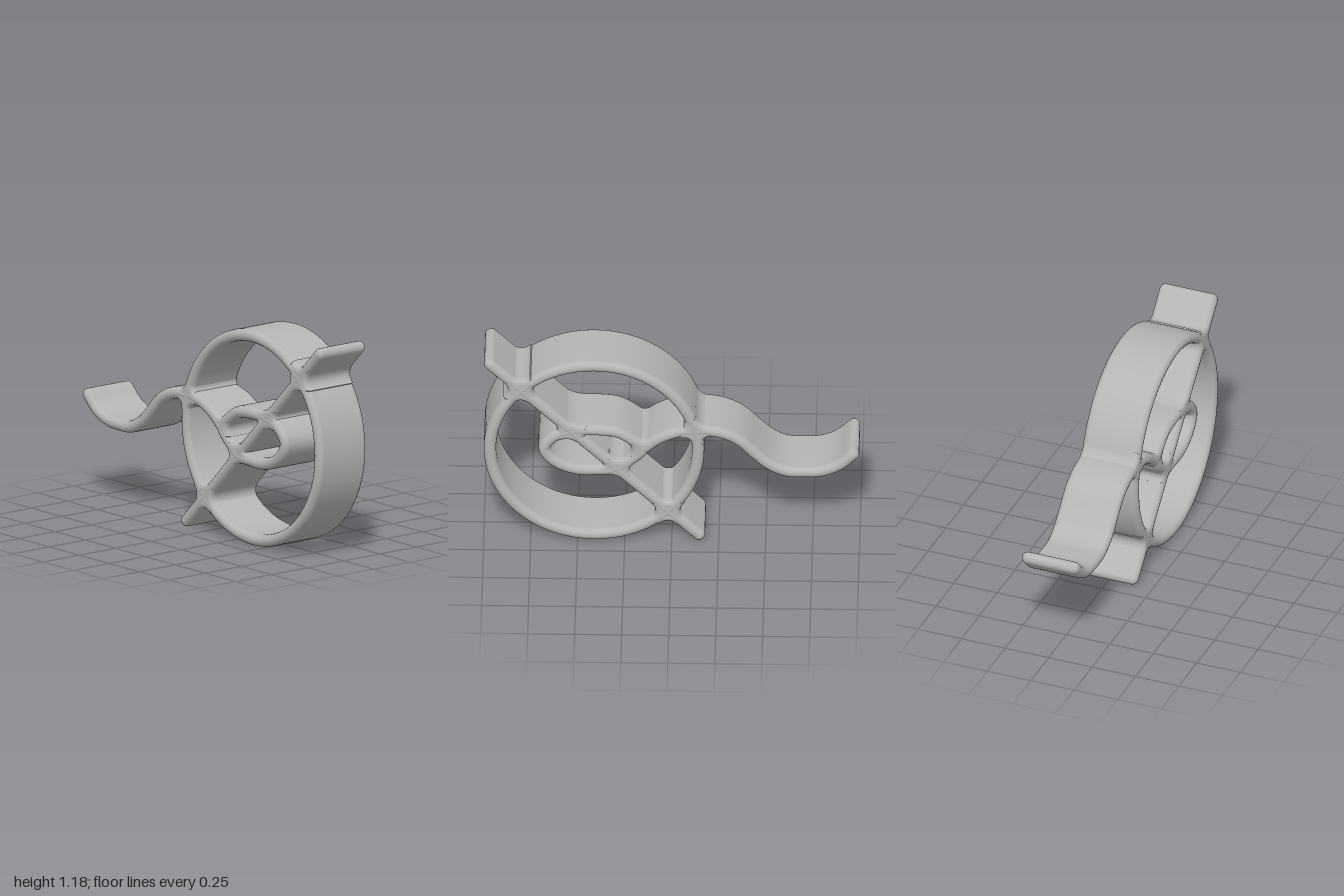
import * as THREE from 'three';

const R = 0.0325;    // half thickness of the bands, also their edge rounding
const FLAT = 0.1325; // half length of the flat part of the band section

// Sweeps a stadium-shaped section along a flat path; open ends are rounded off.
function band(curve, steps, closed) {
  const stations = [];
  const add = (u, shift, r) => {
    const p = curve.getPointAt(u), t = curve.getTangentAt(u);
    stations.push({ x: p.x + t.x * shift, y: p.y + t.y * shift, nx: -t.y, ny: t.x, r });
  };
  const round = [0, 0.25, 0.5, 0.75].map(k => k * Math.PI / 2);
  if (!closed) round.forEach(a => add(0, -R * Math.cos(a), R * Math.sin(a)));
  for (let i = 0; i < steps + (closed ? 0 : 1); i++) add(i / steps, 0, R);
  if (!closed) round.slice().reverse().forEach(a => add(1, R * Math.cos(a), R * Math.sin(a)));

  const pos = [], index = [], arc = 8, m = 2 * (arc + 1), n = stations.length;
  for (const s of stations) {
    for (let side = 0; side < 2; side++) {
      for (let k = 0; k <= arc; k++) {
        const a = (side + k / arc) * Math.PI;
        const w = Math.cos(a) * s.r;
        const z = Math.sin(a) * s.r + (side ? -1 : 1) * (FLAT);
        pos.push(s.x + s.nx * w, s.y + s.ny * w, z);
      }
    }
  }
  for (let i = 0; i < (closed ? n : n - 1); i++) {
    for (let j = 0; j < m; j++) {
      const i2 = (i + 1) % n, j2 = (j + 1) % m;
      const a = i * m + j, b = i * m + j2, c = i2 * m + j2, d = i2 * m + j;
      index.push(a, b, d, b, c, d);
    }
  }
  const g = new THREE.BufferGeometry();
  g.setAttribute('position', new THREE.Float32BufferAttribute(pos, 3));
  g.setIndex(index);
  g.computeVertexNormals();
  return g;
}

// Fillet block where bands meet: concave curves between neighbouring arms.
function fillet(x, y, degrees, reach = 0.09) {
  const arms = degrees.map(d => THREE.MathUtils.degToRad((d + 360) % 360)).sort((a, b) => a - b);
  const h = 0.03, shape = new THREE.Shape();
  const edge = (a, s) => [
    x + Math.cos(a) * reach - Math.sin(a) * h * s,
    y + Math.sin(a) * reach + Math.cos(a) * h * s,
  ];
  arms.forEach((a, i) => {
    const b = i + 1 < arms.length ? arms[i + 1] : arms[0] + 2 * Math.PI;
    const mid = (a + b) / 2, c = h / Math.sin((b - a) / 2);
    if (i === 0) shape.moveTo(...edge(a, 1));
    else shape.lineTo(...edge(a, 1));
    shape.quadraticCurveTo(x + Math.cos(mid) * c, y + Math.sin(mid) * c, ...edge(b, -1));
  });
  const bevel = 0.024;
  const g = new THREE.ExtrudeGeometry(shape, {
    depth: 0.27, bevelThickness: 0.028, bevelSize: bevel, bevelOffset: -bevel,
    bevelSegments: 3, curveSegments: 8,
  });
  g.translate(0, 0, -0.135);
  return g;
}

const path = (pts, closed = false) =>
  new THREE.CatmullRomCurve3(pts.map(([x, y]) => new THREE.Vector3(x, y, 0)), closed);

export function createModel() {
  const model = new THREE.Group();
  model.name = 'ringSculpture';
  const grey = new THREE.MeshStandardMaterial({ color: 0xb4b4b4 });
  grey.name = 'plainGrey';
  const add = (name, geometry) => {
    const mesh = new THREE.Mesh(geometry, grey);
    mesh.name = name;
    model.add(mesh);
  };

  // Large ring
  const circle = [];
  for (let i = 0; i < 24; i++) {
    const a = i / 24 * Math.PI * 2;
    circle.push([0.413 + 0.554 * Math.cos(a), 0.587 + 0.554 * Math.sin(a)]);
  }
  add('ring', band(path(circle, true), 96, true));

  // Diagonal bar through the ring
  add('diagonalBar', band(new THREE.LineCurve3(
    new THREE.Vector3(-0.145, 0.035, 0), new THREE.Vector3(0.965, 1.143, 0)), 8, false));

  // Wavy tail running into the ring
  add('waveTail', band(path([
    [-0.965, 0.575], [-0.89, 0.505], [-0.8, 0.465], [-0.7, 0.457], [-0.61, 0.462],
    [-0.52, 0.505], [-0.44, 0.58], [-0.36, 0.66], [-0.26, 0.71], [-0.13, 0.725],
    [-0.03, 0.71], [0.07, 0.665], [0.145, 0.605],
  ]), 60, false));

  // Almond-shaped loop in the middle
  add('innerLoop', band(path([
    [0.155, 0.6], [0.215, 0.66], [0.29, 0.705], [0.38, 0.718], [0.47, 0.718],
    [0.55, 0.712], [0.63, 0.67], [0.677, 0.605], [0.655, 0.545], [0.59, 0.49],
    [0.5, 0.46], [0.4, 0.458], [0.3, 0.47], [0.22, 0.525],
  ], true), 80, true));

  // Fillets at the crossings
  add('upperBarFillet', fillet(0.804, 0.981, [45, 135, 225, 315], 0.1));
  add('lowerBarFillet', fillet(0.021, 0.198, [45, 135, 225, 315], 0.1));
  add('tailFillet', fillet(-0.124, 0.722, [73, 184, 257, 348]));
  add('loopTipFillet', fillet(0.155, 0.6, [142, 45, 312], 0.08));
  add('lowerLoopFillet', fillet(0.29, 0.474, [45, 145, 225, 350]));
  add('upperLoopFillet', fillet(0.54, 0.717, [45, 178, 225, 332]));
  return model;
}
